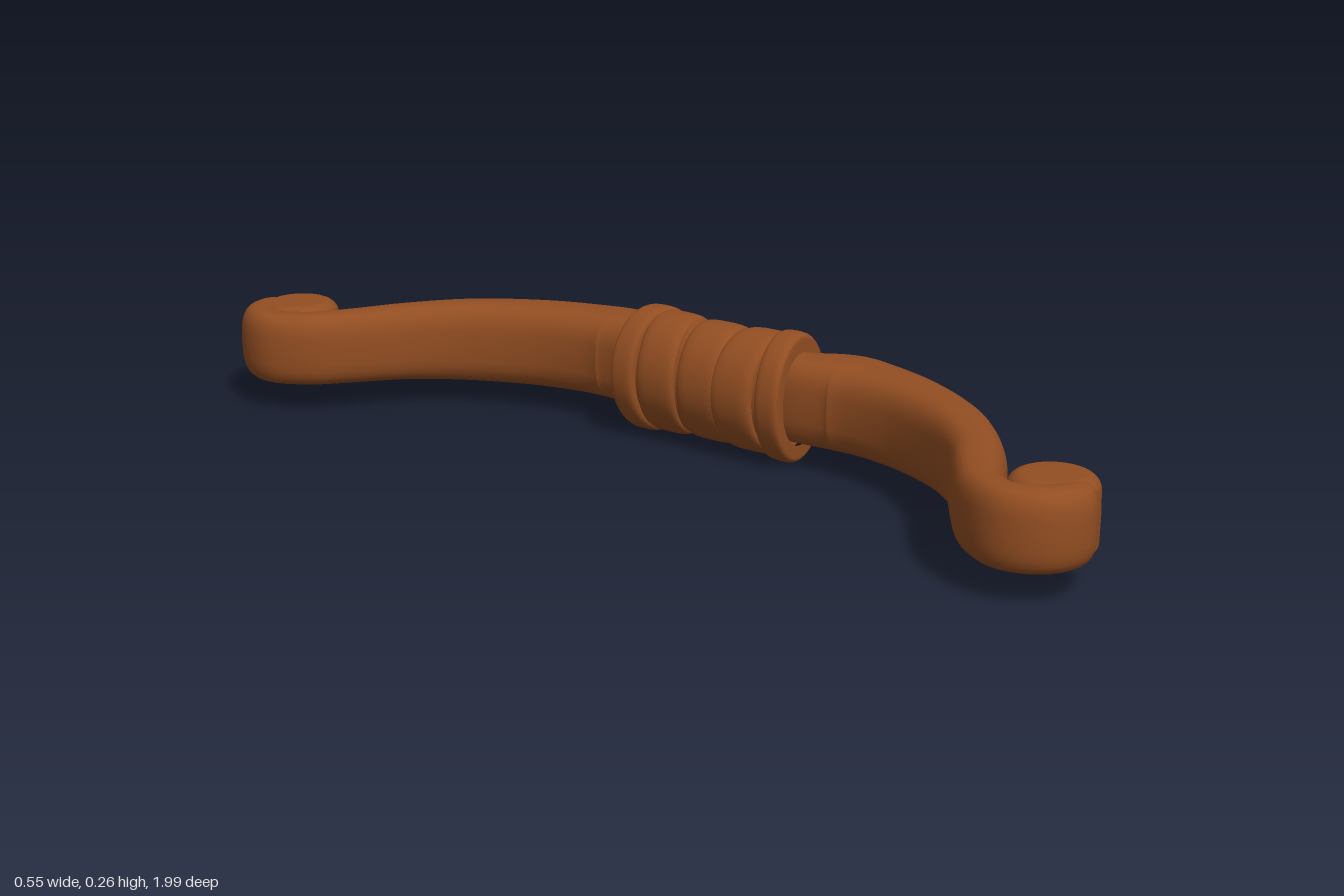
import * as THREE from 'three';

const MID = 0.13; // height of the bow's centre plane

// Limb stations from grip to scroll: x, z, half width, half height
const LIMB = [
  [0.150, 0.00, 0.060, 0.083], [0.150, 0.12, 0.060, 0.084], [0.158, 0.20, 0.070, 0.086],
  [0.178, 0.275, 0.089, 0.088], [0.168, 0.35, 0.080, 0.087], [0.132, 0.46, 0.069, 0.086],
  [0.058, 0.59, 0.060, 0.083], [-0.035, 0.685, 0.053, 0.078], [-0.130, 0.748, 0.049, 0.075],
  [-0.200, 0.800, 0.045, 0.074], [-0.236, 0.868, 0.043, 0.074], [-0.215, 0.925, 0.044, 0.074],
  [-0.165, 0.950, 0.041, 0.072], [-0.115, 0.930, 0.030, 0.066],
];

// The back limb leans very slightly towards +x
const place = (x, z, side) => side > 0 ? [x, z] : [x + 0.023 * z, -z * 1.008];

// Sweep a rounded cross-section along the limb's curve
function limbGeometry(side) {
  const path = new THREE.CatmullRomCurve3(LIMB.map(([x, z]) => new THREE.Vector3(x, 0, z)));
  const size = new THREE.CatmullRomCurve3(LIMB.map(([, , w, h]) => new THREE.Vector3(w, h, 0)));
  const rings = 104, n = 28, pos = [], idx = [];
  for (let i = 0; i <= rings; i++) {
    const t = i / rings, c = path.getPoint(t), d = path.getTangent(t), s = size.getPoint(t);
    for (let j = 0; j < n; j++) {
      const a = j / n * Math.PI * 2, ca = Math.cos(a), sa = Math.sin(a);
      const e = ca > 0 ? 0.82 : 0.66; // belly a little more pointed than the inner face
      const u = Math.sign(ca) * Math.abs(ca) ** e * s.x;
      const v = Math.sign(sa) * Math.abs(sa) ** e * s.y;
      const [x, z] = place(c.x + d.z * u, c.z - d.x * u, side);
      pos.push(x, MID + v, z);
    }
  }
  for (let i = 0; i < rings; i++) {
    for (let j = 0; j < n; j++) {
      const k = (j + 1) % n, a = i * n + j, b = i * n + k, c = a + n, d = b + n;
      if (side > 0) idx.push(a, b, c, b, d, c);
      else idx.push(a, c, b, b, c, d);
    }
  }
  const g = new THREE.BufferGeometry();
  g.setAttribute('position', new THREE.Float32BufferAttribute(pos, 3));
  g.setIndex(idx);
  g.computeVertexNormals();
  return g;
}

// Rounded drum at the centre of each curled tip
function scrollGeometry() {
  const r = 0.08, h = 0.072, bevel = 0.03;
  const pts = [new THREE.Vector2(0, -h)];
  for (let i = 0; i <= 12; i++) {
    const a = -Math.PI / 2 + i / 12 * Math.PI;
    pts.push(new THREE.Vector2(r - bevel + bevel * Math.cos(a),
      Math.sin(a) * bevel + Math.sign(Math.round(Math.sin(a) * 100)) * (h - bevel)));
  }
  pts.push(new THREE.Vector2(0, h));
  return new THREE.LatheGeometry(pts, 36);
}

// Oval strap around the grip, slanted by shearing z along x
function bandGeometry(rx, ry, width, slant) {
  const w = width / 2, pts = [];
  for (let i = 0; i <= 16; i++) {
    const a = -Math.PI / 2 + i / 16 * Math.PI, c = Math.cos(a), s = Math.sin(a);
    pts.push(new THREE.Vector2(0.80 + 0.20 * c ** 0.4, Math.sign(s) * Math.abs(s) ** 0.6 * w));
  }
  pts[0].x = pts[16].x = 0.72;
  const g = new THREE.LatheGeometry(pts, 48);
  g.rotateX(Math.PI / 2);
  g.scale(rx, ry, 1);
  const p = g.attributes.position;
  for (let i = 0; i < p.count; i++) p.setZ(i, p.getZ(i) + slant * p.getX(i));
  g.computeVertexNormals();
  return g;
}

export function createModel() {
  const model = new THREE.Group();
  model.name = 'bow';
  const wood = new THREE.MeshStandardMaterial({ color: 0x934e22 });
  wood.name = 'brown wood';
  const add = (name, geometry, x = 0, y = 0, z = 0) => {
    const mesh = new THREE.Mesh(geometry, wood);
    mesh.name = name;
    mesh.position.set(x, y, z);
    model.add(mesh);
  };

  // Limbs and curled tips
  for (const side of [1, -1]) {
    const end = side > 0 ? 'front' : 'back';
    add(end + 'Limb', limbGeometry(side));
    const [x, z] = place(-0.136, 0.896, side);
    add(end + 'Scroll', scrollGeometry(), x, MID, z);
  }

  // Grip core under the straps
  const core = new THREE.CylinderGeometry(1, 1, 0.31, 48);
  core.rotateX(Math.PI / 2);
  core.scale(0.087, 0.112, 1);
  add('gripCore', core, 0.143, MID, 0);

  // Straps: z, width, slant, radius x, radius y
  const straps = [
    [-0.165, 0.055, 0.14, 0.101, 0.127], [-0.108, 0.092, -0.12, 0.101, 0.121],
    [-0.005, 0.098, -0.10, 0.100, 0.118], [0.098, 0.094, 0.14, 0.101, 0.121],
    [0.160, 0.055, -0.12, 0.102, 0.128],
  ];
  straps.forEach(([z, width, slant, rx, ry], i) =>
    add('gripStrap' + (i + 1), bandGeometry(rx, ry, width, slant), 0.143, MID, z));

  return model;
}
